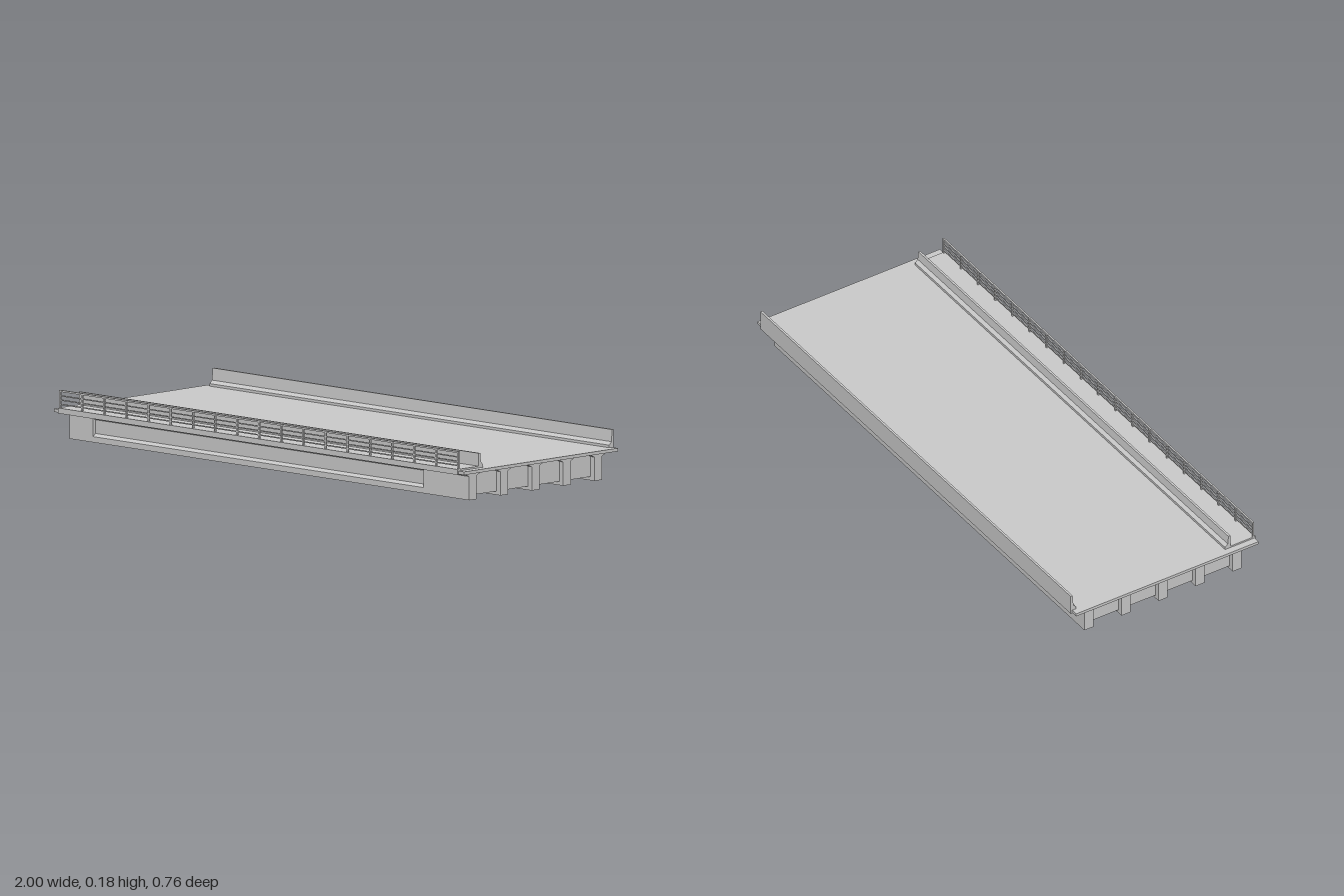
import * as THREE from 'three';

const X0 = -0.975, X1 = 0.972;

export function createModel() {
  const group = new THREE.Group();
  const material = new THREE.MeshStandardMaterial({ color: 0xcccccc, flatShading: true });

  const add = (name, geometry, parent = group) => {
    const mesh = new THREE.Mesh(geometry, material);
    mesh.name = name;
    parent.add(mesh);
    return mesh;
  };

  // Box given by its lower and upper limits
  const box = (name, x0, x1, y0, y1, z0, z1, parent) => {
    const geometry = new THREE.BoxGeometry(x1 - x0, y1 - y0, z1 - z0);
    geometry.translate((x0 + x1) / 2, (y0 + y1) / 2, (z0 + z1) / 2);
    return add(name, geometry, parent);
  };

  // Cross-section of [z, y] points swept along x
  const sweep = (name, points, x0, x1, parent) => {
    const shape = new THREE.Shape(points.map(([z, y]) => new THREE.Vector2(-z, y)));
    const geometry = new THREE.ExtrudeGeometry(shape, { depth: x1 - x0, bevelEnabled: false });
    geometry.rotateY(Math.PI / 2).translate(x0, 0, 0);
    return add(name, geometry, parent);
  };

  const mirrored = (half) => [...half, ...half.map(([z, y]) => [-z, y]).reverse()];

  // Deck slab
  box('deckSlab', -1, 1, 0.097, 0.108, -0.375, 0.377);

  // Girders: solid end blocks with a thin-webbed middle
  const flange = [[0.034, 0.09], [0.034, 0.097]];
  const endSection = mirrored([[0.0185, 0], [0.0185, 0.083], ...flange]);
  const midSection = mirrored([
    [0.0185, 0], [0.0185, 0.02], [0.008, 0.03], [0.008, 0.078], [0.0185, 0.083], ...flange,
  ]);
  const spacing = 0.153;
  for (let i = -2; i <= 2; i++) {
    const girder = new THREE.Group();
    girder.name = 'girder';
    girder.position.z = i * spacing;
    sweep('girderEndBlock', endSection, X0, -0.86, girder);
    sweep('girderMiddle', midSection, -0.86, 0.75, girder);
    sweep('girderEndBlock', endSection, 0.75, X1, girder);
    group.add(girder);
  }

  // Cross beams in each bay, at both ends and the third points
  for (const x of [-0.945, -0.325, 0.322, 0.942]) {
    for (let i = -2; i < 2; i++) {
      box('crossBeam', x - 0.011, x + 0.011, 0.013, 0.097,
        i * spacing + 0.007, (i + 1) * spacing - 0.007);
    }
  }

  // Raised footway with a lip over the slab edge
  sweep('footway', [
    [0.277, 0.108], [0.277, 0.114], [0.382, 0.114], [0.382, 0.095], [0.377, 0.095], [0.377, 0.108],
  ], X0, X1);

  // Barrier between road and footway
  sweep('innerBarrier', [
    [0.278, 0.108], [0.278, 0.159], [0.27, 0.159], [0.267, 0.128], [0.256, 0.117], [0.256, 0.108],
  ], X0, X1);

  // Barrier on the far edge, lapping over the slab
  sweep('edgeBarrier', [
    [-0.375, 0.108], [-0.375, 0.095], [-0.381, 0.095], [-0.381, 0.17],
    [-0.373, 0.17], [-0.37, 0.128], [-0.359, 0.117], [-0.359, 0.108],
  ], X0, X1);

  // Pedestrian railing
  const railing = new THREE.Group();
  railing.name = 'railing';
  const bays = 18, post = 0.006;
  for (let i = 0; i <= bays; i++) {
    const x = X0 + (X1 - X0 - post) * i / bays;
    box('railingPost', x, x + post, 0.113, 0.172, 0.37, 0.376, railing);
  }
  box('topRail', X0, X1, 0.17, 0.176, 0.37, 0.376, railing);
  for (const y of [0.126, 0.141, 0.156]) {
    box('midRail', X0, X1, y - 0.002, y + 0.002, 0.371, 0.375, railing);
  }
  group.add(railing);

  return group;
}
